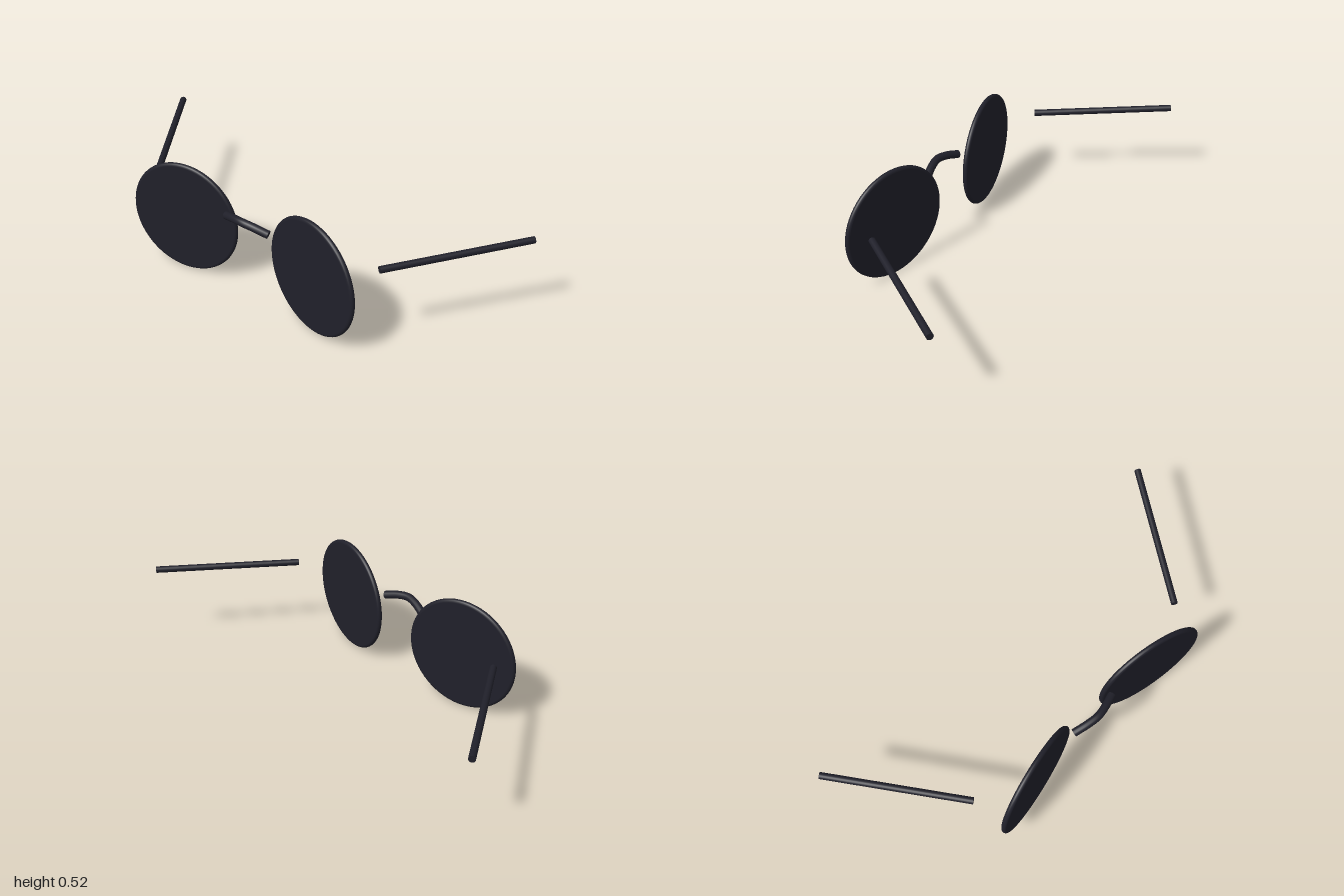
import * as THREE from 'three';

const V = (x, y, z) => new THREE.Vector3(x, y, z);

export function createModel() {
  const group = new THREE.Group();
  const dark = new THREE.MeshStandardMaterial({ color: 0x20202a });
  dark.name = 'near black';

  function add(name, geometry) {
    const mesh = new THREE.Mesh(geometry, dark);
    mesh.name = name;
    group.add(mesh);
    return mesh;
  }

  // Round lens: a thin disc with a rounded edge, turned on a lathe
  const R = 0.262, h = 0.012;
  const edge = [];
  for (let i = 0; i <= 8; i++) {
    const a = -Math.PI / 2 + (i / 8) * Math.PI;
    edge.push(new THREE.Vector2(R - h + h * Math.cos(a), h * Math.sin(a)));
  }
  // doubled points beside the edge keep the faces flat
  const profile = [
    new THREE.Vector2(0, -h), new THREE.Vector2(R - h - 0.001, -h),
    ...edge,
    new THREE.Vector2(R - h - 0.001, h), new THREE.Vector2(0, h),
  ];
  const lensGeometry = new THREE.LatheGeometry(profile, 64).rotateX(Math.PI / 2);

  // Straight round rod between two points
  function rod(name, from, to, radius) {
    const dir = to.clone().sub(from);
    const mesh = add(name, new THREE.CylinderGeometry(radius, radius, dir.length(), 20));
    mesh.position.copy(from).add(to).multiplyScalar(0.5);
    mesh.quaternion.setFromUnitVectors(V(0, 1, 0), dir.normalize());
  }

  for (const [side, s] of [['left', 1], ['right', -1]]) {
    // Lenses, outer edges swung forward
    const lens = add(side + 'Lens', lensGeometry);
    lens.position.set(0.355 * s, 0.263, 0.3);
    lens.rotation.y = -0.209 * s;

    // Splayed temple arms; the right one is slightly shorter
    rod(side + 'Temple', V(0.618 * s, 0.364, s > 0 ? 0.203 : 0.197),
      V(0.987 * s, 0.381, s > 0 ? -0.354 : -0.335), 0.015);
  }

  // Arched nose bridge with capped ends
  const path = new THREE.CatmullRomCurve3([
    V(-0.117, 0.362, 0.293), V(-0.055, 0.38, 0.312), V(0, 0.387, 0.321),
    V(0.055, 0.38, 0.312), V(0.117, 0.362, 0.293),
  ]);
  const br = 0.018;
  add('bridge', new THREE.TubeGeometry(path, 32, br, 16));
  for (const t of [0, 1]) {
    const cap = add('bridgeEnd', new THREE.CircleGeometry(br, 16));
    cap.position.copy(path.getPoint(t));
    const out = path.getTangent(t).multiplyScalar(t ? 1 : -1);
    cap.quaternion.setFromUnitVectors(V(0, 0, 1), out);
  }

  return group;
}
